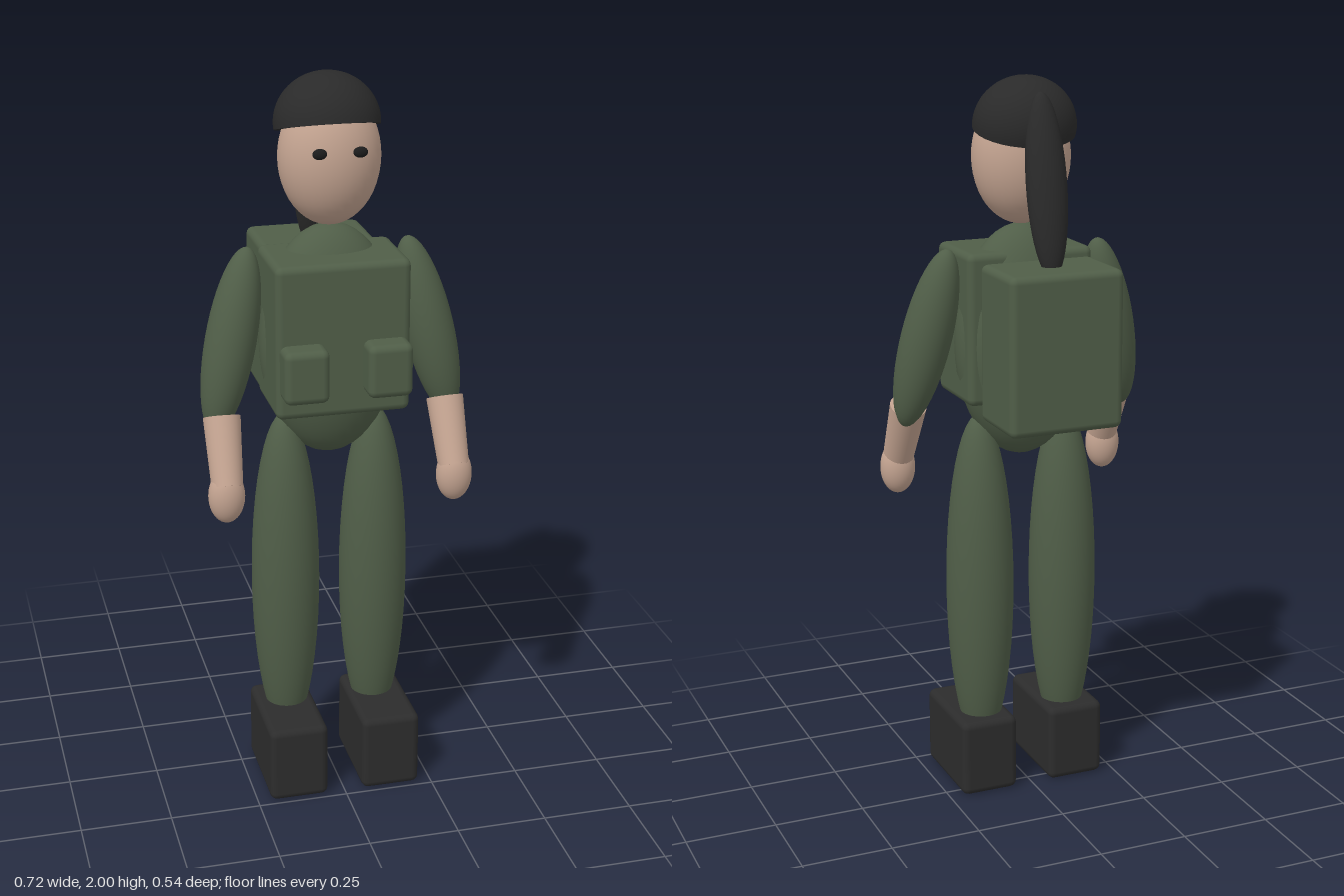
import * as THREE from 'three';
import { RoundedBoxGeometry } from 'three/addons/geometries/RoundedBoxGeometry.js';

const paint = (name, color) => {
  const m = new THREE.MeshStandardMaterial({ color });
  m.name = name;
  return m;
};

export function createModel() {
  const green = paint('olive cloth', 0x505e48);
  const skin = paint('skin', 0xc4a491);
  const black = paint('black hair', 0x2a2a2a);
  const boot = paint('boot leather', 0x2c2c2c);
  const eyeInk = paint('eye', 0x1c1c1c);
  const model = new THREE.Group();
  model.name = 'figure';

  const add = (name, geometry, material, pos, parent = model) => {
    const mesh = new THREE.Mesh(geometry, material);
    mesh.name = name;
    mesh.position.set(...pos);
    parent.add(mesh);
    return mesh;
  };
  const ball = (name, radii, material, pos, parent) => {
    const mesh = add(name, new THREE.SphereGeometry(1, 32, 24), material, pos, parent);
    mesh.scale.set(...radii);
    return mesh;
  };
  const box = (name, size, material, pos, parent) =>
    add(name, new RoundedBoxGeometry(...size, 2, 0.02), material, pos, parent);
  // Turn a part so its own +y points along the given direction
  const aim = (mesh, dir) =>
    mesh.quaternion.setFromUnitVectors(new THREE.Vector3(0, 1, 0), new THREE.Vector3(...dir).normalize());

  // Torso with vest and backpack
  ball('torso', [0.19, 0.32, 0.127], green, [0, 1.29, 0.04]);
  box('vest', [0.36, 0.415, 0.235], green, [0, 1.337, 0.088]);
  box('backpack', [0.32, 0.425, 0.217], green, [0, 1.313, -0.163]);

  // Head
  ball('head', [0.135, 0.18, 0.118], skin, [0, 1.787, 0.042]);

  // Hair: a closed half dome tipped back, and a hanging ponytail
  const dome = [new THREE.Vector2(0, -0.1)];
  for (let i = 0; i <= 16; i++) {
    const a = -0.1 + (i / 16) * (Math.PI / 2 + 0.1);
    dome.push(new THREE.Vector2(i === 16 ? 0 : Math.cos(a), Math.sin(a)));
  }
  // Repeat the rim point so the underside keeps a sharp edge
  const underside = new THREE.LatheGeometry(dome.slice(0, 2), 32);
  const hair = new THREE.Group();
  hair.name = 'hair';
  hair.position.set(0, 1.87, 0.018);
  hair.rotation.x = -0.28;
  hair.scale.set(0.14, 0.131, 0.125);
  model.add(hair);
  add('hairCap', new THREE.LatheGeometry(dome.slice(1), 32), black, [0, 0, 0], hair);
  add('hairUnderside', underside, black, [0, 0, 0], hair);
  const ponytail = ball('ponytail', [0.055, 0.24, 0.045], black, [0, 1.73, -0.127]);
  ponytail.rotation.x = 0.17;

  // Paired parts
  for (const s of [-1, 1]) {
    const side = s > 0 ? 'left' : 'right';
    ball(side + 'Eye', [0.019, 0.014, 0.011], eyeInk, [s * 0.053, 1.82, 0.155]);
    box(side + 'Pouch', [0.12, 0.145, 0.09], green, [s * 0.111, 1.264, 0.224]);

    const sleeve = ball(side + 'Sleeve', [0.068, 0.252, 0.07], green, [s * 0.27, 1.31, 0.056]);
    aim(sleeve, [-s * 0.055, 0.245, -0.032]);

    const forearm = add(side + 'Forearm', new THREE.CylinderGeometry(0.05, 0.042, 0.185, 28),
      skin, [s * 0.309, 1.035, 0.143]);
    aim(forearm, [-s * 0.004, 0.165, -0.08]);
    ball(side + 'Hand', [0.049, 0.075, 0.043], skin, [s * 0.313, 0.925, 0.182]);

    ball(side + 'Leg', [0.094, 0.49, 0.094], green, [s * 0.125, 0.6, 0.044]);
    box(side + 'Boot', [0.165, 0.22, 0.29], boot, [s * 0.132, 0.11, 0.096]);
  }
  return model;
}
